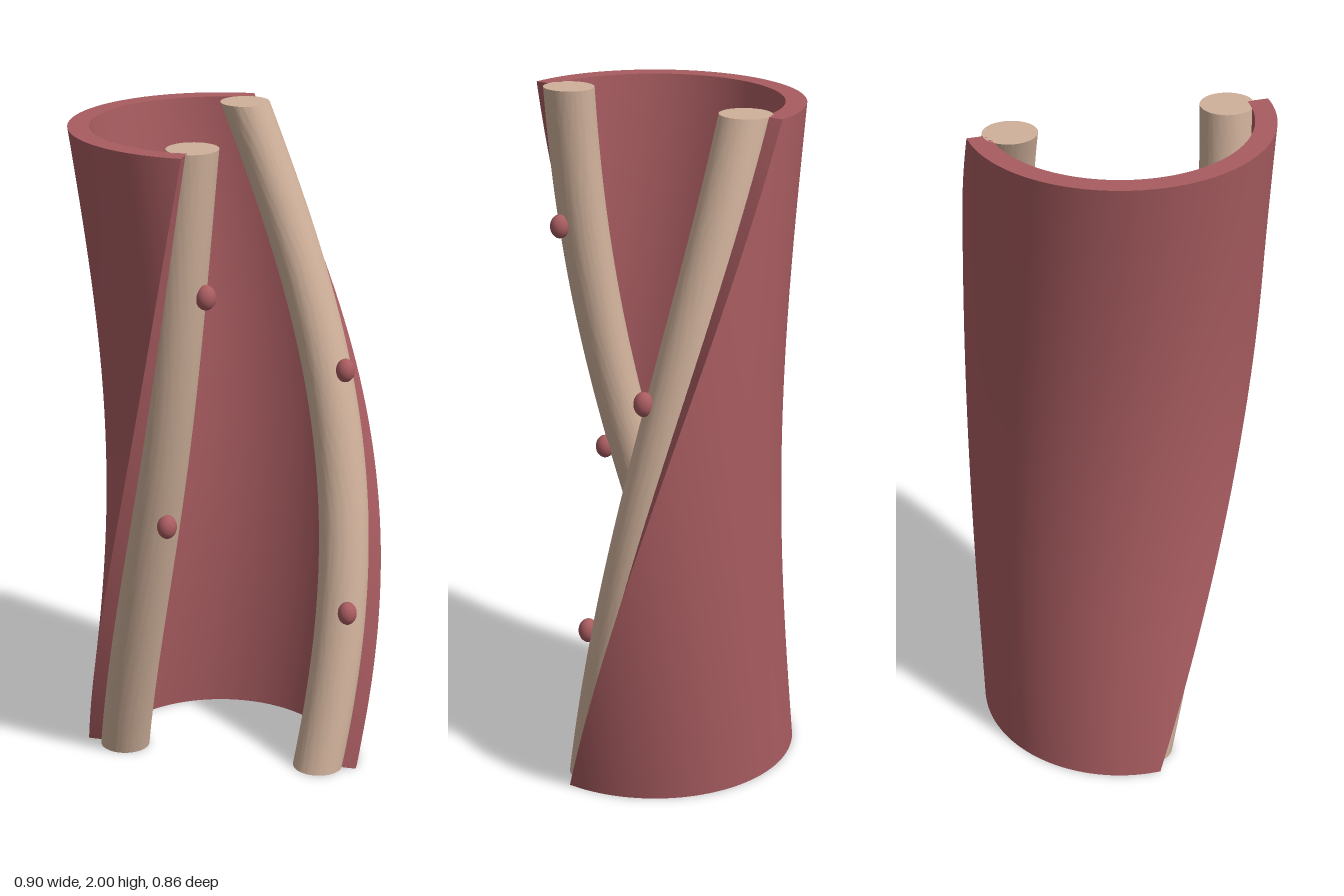
import * as THREE from 'three';
import { toCreasedNormals } from 'three/addons/utils/BufferGeometryUtils.js';

const HEIGHT = 2;
const RAIL_RADIUS = 0.31;

// Quarter turn over the height, with a sideways bow at mid height.
function twistPoint(p) {
  const t = p.y / HEIGHT;
  p.applyAxisAngle(new THREE.Vector3(0, 1, 0), t * Math.PI / 2);
  p.x += -0.02 + 0.095 * Math.sin(Math.PI * t);
  return p;
}

// Extrude a plan outline upwards and twist every level.
function twistedColumn(shape, curveSegments) {
  const geo = new THREE.ExtrudeGeometry(shape, { depth: HEIGHT, steps: 48, curveSegments, bevelEnabled: false });
  geo.rotateX(-Math.PI / 2);
  const pos = geo.attributes.position;
  const p = new THREE.Vector3();
  for (let i = 0; i < pos.count; i++) {
    twistPoint(p.fromBufferAttribute(pos, i));
    pos.setXYZ(i, p.x, p.y, p.z);
  }
  return toCreasedNormals(geo, 0.7);
}

export function createModel() {
  const red = new THREE.MeshStandardMaterial({ color: 0xa85c60 });
  red.name = 'dusty red';
  const tan = new THREE.MeshStandardMaterial({ color: 0xd0b19b });
  tan.name = 'warm tan';

  const group = new THREE.Group();
  group.name = 'twistedShell';
  const add = (name, geo, mat) => {
    const mesh = new THREE.Mesh(geo, mat);
    mesh.name = name;
    group.add(mesh);
    return mesh;
  };

  // Half-ring shell
  const ring = new THREE.Shape();
  ring.absarc(0, 0, 0.43, 0, Math.PI, false);
  ring.absarc(0, 0, 0.369, Math.PI, 0, true);
  ring.closePath();
  add('shell', twistedColumn(ring, 48), red);

  // A rail along each open edge, with two beads on its outward side
  const rails = [
    { side: 1, name: 'left', beads: [0.505, 1.225] },
    { side: -1, name: 'right', beads: [0.865, 1.587] },
  ];
  for (const { side, name, beads } of rails) {
    const outline = new THREE.Shape();
    outline.absellipse(side * RAIL_RADIUS, 0, 0.0765, 0.0725, 0, Math.PI * 2, false, 0);
    add(name + 'Rail', twistedColumn(outline, 32), tan);

    beads.forEach((y, i) => {
      const bead = add(name + 'Bead' + (i + 1), new THREE.SphereGeometry(1, 24, 16), red);
      bead.scale.set(0.029, 0.036, 0.029);
      bead.position.copy(twistPoint(new THREE.Vector3(side * RAIL_RADIUS, y, 0.084)));
    });
  }
  return group;
}
